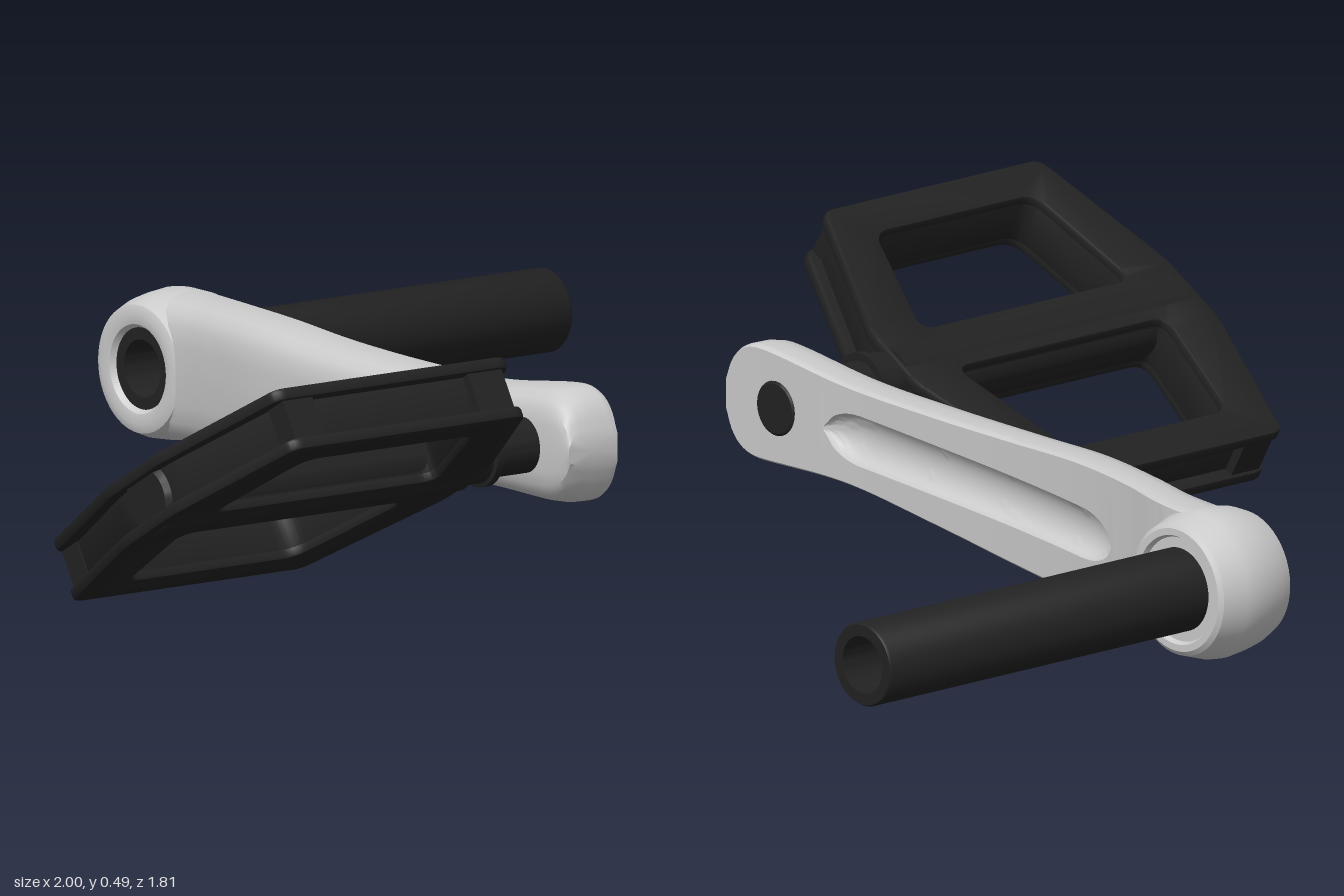
import * as THREE from 'three';
import { toCreasedNormals } from 'three/addons/utils/BufferGeometryUtils.js';

const metal = new THREE.MeshStandardMaterial({ color: 0xcccccc });
const black = new THREE.MeshStandardMaterial({ color: 0x222222 });
const BOSS = { y: 0.195, z: -0.76 };
const PEDAL = { y: 0.255, z: 0.54 };

function part(name, geometry, material, crease = 0.6) {
  const mesh = new THREE.Mesh(toCreasedNormals(geometry, crease), material);
  mesh.name = name;
  return mesh;
}

// Turned part around the x axis; profile is [radius, x]
function turned(name, profile, material, centre) {
  const g = new THREE.LatheGeometry(profile.map(p => new THREE.Vector2(...p)), 48);
  g.rotateZ(-Math.PI / 2);
  g.translate(0, centre.y, centre.z);
  return part(name, g, material);
}

// Closed polygon with rounded corners
function rounded(points, r, Type = THREE.Shape) {
  const path = new Type();
  const v = points.map(p => new THREE.Vector2(...p));
  v.forEach((p, i) => {
    const toward = q => p.clone().add(q.clone().sub(p).setLength(r));
    const a = toward(v[(i + v.length - 1) % v.length]);
    const b = toward(v[(i + 1) % v.length]);
    if (i) path.lineTo(a.x, a.y); else path.moveTo(a.x, a.y);
    path.quadraticCurveTo(p.x, p.y, b.x, b.y);
  });
  path.closePath();
  return path;
}

// Crank arm: lofted sections with a scooped groove on the +x face
function crankArm() {
  // z, back x, face x, bottom y, top y
  const keys = [
    [0.68, -0.085, 0.03, 0.145, 0.37], [0.57, -0.085, 0.03, 0.145, 0.367],
    [0.35, -0.081, 0.033, 0.147, 0.341], [0.1, -0.071, 0.045, 0.122, 0.335],
    [-0.15, -0.054, 0.062, 0.094, 0.338], [-0.35, -0.031, 0.085, 0.078, 0.345],
    [-0.52, 0.002, 0.115, 0.069, 0.343], [-0.64, 0.024, 0.145, 0.06, 0.338],
    [-0.76, 0.034, 0.165, 0.054, 0.336],
  ];
  const xs = new THREE.CatmullRomCurve3(keys.map(k => new THREE.Vector3(k[1], k[2], k[0])));
  const ys = new THREE.CatmullRomCurve3(keys.map(k => new THREE.Vector3(k[3], k[4], k[0])));
  // outer half section: fraction of depth from the face, fraction of half height
  const side = [[0, 0.95], [0.05, 0.99], [0.12, 1], [0.45, 0.99], [0.72, 0.93],
    [0.88, 0.82], [0.97, 0.65], [1, 0.4], [1.01, 0]];
  const N = 160, G = 14, position = [], index = [];
  let ringSize = 0;
  for (let i = 0; i <= N; i++) {
    const t = i / N, a = xs.getPoint(t), b = ys.getPoint(t), z = a.z;
    const nose = Math.min(1, Math.max(0, (z - 0.57) / 0.11));
    const mid = (b.x + b.y) / 2;
    const h = (b.y - b.x) / 2 * Math.max(0.25, Math.sqrt(1 - nose ** 3));
    // groove half height, rounded at both ends
    const end = Math.max(0, Math.min(0.4 - z, z + 0.47));
    const e = Math.min(1, end / 0.1);
    const gh = Math.max(0.003, 0.049 * Math.sqrt(1 - (1 - e) ** 2));
    const gy = 0.225 + 0.046 * z;
    const ring = [];
    for (let k = 0; k <= G; k++) {
      const s = -Math.cos(Math.PI * k / G);
      const depth = end > 0 ? 0.036 * (gh / 0.049) * Math.sqrt(Math.max(0, 1 - s * s)) : 0;
      ring.push([a.y - depth, gy + gh * s]);
    }
    const half = sign => side.map(([d, f]) => [a.y + (a.x - a.y) * d, mid + sign * h * f]);
    ring.push(...half(1), ...half(-1).reverse().slice(1));
    ringSize = ring.length;
    // the far end wraps round the axle bore
    for (const [x, y] of ring) {
      const bore = BOSS.z + Math.sqrt(Math.max(0, 0.01 - (y - BOSS.y) ** 2));
      position.push(x, y, Math.max(z, bore));
    }
  }
  for (let i = 0; i < N; i++) for (let j = 0; j < ringSize; j++) {
    const p = i * ringSize + j, q = i * ringSize + (j + 1) % ringSize;
    index.push(p, p + ringSize, q, q, p + ringSize, q + ringSize);
  }
  // closing cap at the pedal end
  const c = position.length / 3;
  position.push(-0.027, 0.257, 0.68);
  for (let j = 0; j < ringSize; j++) index.push(c, j, (j + 1) % ringSize);
  const g = new THREE.BufferGeometry();
  g.setAttribute('position', new THREE.Float32BufferAttribute(position, 3));
  g.setIndex(index);
  return part('crankArm', g, metal, 0.55);
}

// Pedal cage plate in its own plane: x across, y along the tread
function cagePlate(name, inset, depth, z) {
  const n = inset, outline = [
    [-1 + n, -0.08], [-0.92 + n, -0.392 + n], [-0.37 - n * 0.7, -0.392 + n], [-0.24 - n, -0.07],
    [-0.24 - n, 0.07], [-0.37 - n * 0.7, 0.392 - n], [-0.92 + n, 0.392 - n], [-1 + n, 0.08]];
  const shape = rounded(outline, 0.025);
  for (const s of [1, -1]) {
    shape.holes.push(rounded([[-0.885, s * 0.055], [-0.84, s * 0.31], [-0.44, s * 0.31],
      [-0.355, s * 0.055]], 0.035, THREE.Path));
  }
  const bevel = 0.006;
  const g = new THREE.ExtrudeGeometry(shape, { depth: depth - 2 * bevel, bevelSize: bevel,
    bevelThickness: bevel, bevelOffset: -bevel, bevelSegments: 2, curveSegments: 6 });
  g.translate(0, 0, z - depth / 2 + bevel);
  return part(name, g, black);
}

function pedal() {
  const group = new THREE.Group();
  group.name = 'pedal';
  group.add(cagePlate('cageCore', 0.026, 0.1, 0));
  for (const s of [1, -1]) {
    group.add(cagePlate('cageFlange', 0, 0.024, s * 0.05));
    // blocks filling the channel at the corners
    for (const [x, w] of [[-0.872, 0.07], [-0.425, 0.08]]) {
      const block = part('cornerBlock', new THREE.BoxGeometry(w, 0.05, 0.1), black);
      block.position.set(x, s * 0.36, 0);
      group.add(block);
    }
  }
  const o = { y: 0, z: 0 };
  group.add(turned('barrel', [[0, -0.985], [0.058, -0.985], [0.068, -0.975], [0.068, -0.25],
    [0, -0.25]], black, o));
  group.add(turned('collar', [[0, -0.27], [0.06, -0.27], [0.06, -0.2], [0.068, -0.198],
    [0.068, -0.183], [0, -0.183]], black, o));
  group.add(turned('pedalAxle', [[0, -0.2], [0.053, -0.2], [0.053, 0.03], [0.048, 0.034],
    [0, 0.034]], black, o));
  group.position.set(0, PEDAL.y, PEDAL.z);
  group.rotation.x = Math.PI / 3;
  return group;
}

export function createModel() {
  const model = new THREE.Group();
  model.name = 'crankWithPedal';
  model.add(crankArm());
  model.add(turned('axleBoss', [[0.078, 0.035], [0.085, 0.024], [0.105, 0.02], [0.122, 0.026],
    [0.134, 0.055], [0.141, 0.09], [0.145, 0.125], [0.142, 0.15], [0.127, 0.198],
    [0.118, 0.205], [0.105, 0.205], [0.1, 0.195], [0.078, 0.195]], metal, BOSS));
  model.add(turned('axleTube', [[0.055, 1], [0.055, 0.035], [0.08, 0.035], [0.08, 0.995],
    [0.077, 1], [0.055, 1]], black, BOSS));
  model.add(pedal());
  return model;
}
